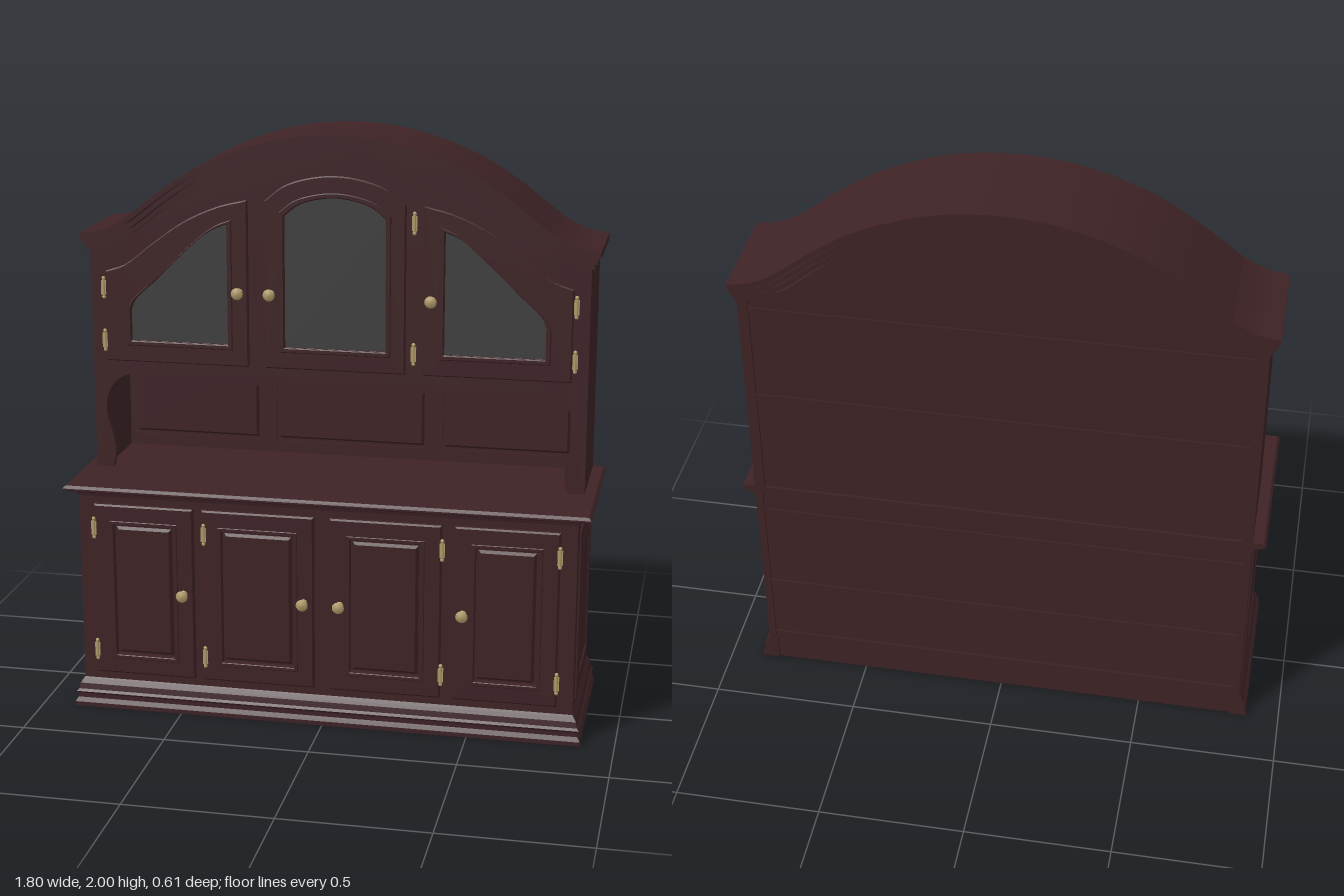
import * as THREE from 'three';

const wood = new THREE.MeshStandardMaterial({ color: 0x3f2326 });
wood.name = 'dark wood';
const glass = new THREE.MeshStandardMaterial({ color: 0x404040 });
glass.name = 'smoked glass';
const brass = new THREE.MeshStandardMaterial({ color: 0xb09a68 });
brass.name = 'aged brass';

const BACK = -0.3;

export function createModel() {
  const root = new THREE.Group();
  root.name = 'dresser';

  const add = (name, geo, mat = wood, parent = root) => {
    const m = new THREE.Mesh(geo, mat);
    m.name = name;
    parent.add(m);
    return m;
  };
  // Box given by its limits
  const box = (name, x0, x1, y0, y1, z0, z1, parent = root) =>
    add(name, new THREE.BoxGeometry(x1 - x0, y1 - y0, z1 - z0)
      .translate((x0 + x1) / 2, (y0 + y1) / 2, (z0 + z1) / 2), wood, parent);
  const shapeOf = pts => new THREE.Shape(pts.map(p => new THREE.Vector2(p[0], p[1])));
  const rect = (x0, x1, y0, y1) => [[x0, y0], [x1, y0], [x1, y1], [x0, y1]];
  // Board cut from an outline, optional hole, softened front edge
  const board = (name, pts, z0, z1, { hole, bevel = 0, mat = wood, parent = root } = {}) => {
    const s = shapeOf(pts);
    if (hole) s.holes.push(shapeOf(hole));
    const geo = new THREE.ExtrudeGeometry(s, {
      depth: z1 - z0 - bevel, bevelEnabled: bevel > 0, bevelThickness: bevel,
      bevelSize: bevel, bevelOffset: -bevel, bevelSegments: 1,
    });
    return add(name, geo.translate(0, 0, z0), mat, parent);
  };
  const spline = (pts, n) => new THREE.CatmullRomCurve3(
    pts.map(p => new THREE.Vector3(p[0], p[1], 0)), false, 'centripetal').getPoints(n).map(p => [p.x, p.y]);
  // Grow an outline by d on every side of its bounds
  const grow = (pts, d) => {
    const xs = pts.map(p => p[0]), ys = pts.map(p => p[1]);
    const x0 = Math.min(...xs), x1 = Math.max(...xs), y0 = Math.min(...ys), y1 = Math.max(...ys);
    const cx = (x0 + x1) / 2, cy = (y0 + y1) / 2;
    return pts.map(([x, y]) => [cx + (x - cx) * (1 + 2 * d / (x1 - x0)), cy + (y - cy) * (1 + 2 * d / (y1 - y0))]);
  };
  // Mitred moulding round the left, front and right; profile is [outward, y]
  const moulding = (name, w, front, profile) => {
    const path = o => [[-w - o, BACK], [-w - o, front + o], [w + o, front + o], [w + o, BACK]];
    const v = [];
    const tri = (...ps) => ps.forEach(p => v.push(...p));
    const at = (k, i) => { const [x, z] = path(profile[i][0])[k]; return [x, profile[i][1], z]; };
    for (let k = 0; k < 3; k++) {
      for (let i = 0; i < profile.length; i++) {
        const j = (i + 1) % profile.length;
        const a = at(k, i), b = at(k + 1, i), c = at(k + 1, j), d = at(k, j);
        tri(a, b, c, a, c, d);
      }
    }
    for (let i = 1; i < profile.length - 1; i++) {
      tri(at(0, 0), at(0, i), at(0, i + 1));
      tri(at(3, 0), at(3, i + 1), at(3, i));
    }
    const geo = new THREE.BufferGeometry();
    geo.setAttribute('position', new THREE.Float32BufferAttribute(v, 3));
    geo.computeVertexNormals();
    return add(name, geo);
  };
  // Frame with a raised field, lying on the plane z
  const panel = (name, x0, x1, y0, y1, z, rim, depth) => {
    const g = new THREE.Group();
    g.name = name;
    root.add(g);
    const inner = rect(x0 + rim, x1 - rim, y0 + rim, y1 - rim);
    board(name + 'Frame', rect(x0, x1, y0, y1), z, z + depth, { hole: inner, bevel: depth * 0.3, parent: g });
    board(name + 'Bead', grow(inner, 0.006), z, z + depth * 1.25, { hole: grow(inner, -0.008), bevel: 0.002, parent: g });
    board(name + 'Field', grow(inner, -0.016), z, z + depth * 0.8, { bevel: depth * 0.5, parent: g });
    return g;
  };
  const knobGeo = new THREE.LatheGeometry([[0.013, 0], [0.013, 0.004], [0.005, 0.008], [0.005, 0.02],
    [0.019, 0.026], [0.021, 0.031], [0.014, 0.037], [0, 0.039]].map(p => new THREE.Vector2(...p)), 16).rotateX(Math.PI / 2);
  const knob = (x, y, z) => add('knob', knobGeo, brass).position.set(x, y, z);
  const hinge = (x, y, z) => {
    const g = new THREE.Group();
    g.name = 'hinge';
    g.position.set(x, y, z);
    root.add(g);
    add('hingePin', new THREE.CylinderGeometry(0.006, 0.006, 0.06, 8), brass, g);
    add('hingeLeaf', new THREE.BoxGeometry(0.018, 0.05, 0.006), brass, g);
    for (const s of [-1, 1]) add('hingeTip', new THREE.SphereGeometry(0.007, 8, 6), brass, g).position.y = s * 0.033;
  };

  // Lower cabinet
  box('lowerCabinet', -0.855, 0.855, 0.09, 0.79, -0.29, 0.25);
  moulding('plinth', 0.855, 0.25, [[-0.03, 0], [0.03, 0], [0.03, 0.015], [0.021, 0.03], [0.021, 0.045],
    [0.025, 0.052], [0.018, 0.06], [0.014, 0.08], [0.004, 0.095], [0, 0.1], [-0.03, 0.1]]);
  moulding('counterEdge', 0.855, 0.25, [[-0.03, 0.77], [0.004, 0.77], [0.008, 0.785], [0.03, 0.79],
    [0.045, 0.797], [0.045, 0.803], [0.036, 0.812], [-0.03, 0.812]]);
  box('counterTop', -0.83, 0.83, 0.785, 0.812, BACK, 0.225);
  for (const [x0, x1] of [[-0.8, -0.45], [-0.42, -0.03], [0.025, 0.405], [0.45, 0.8]])
    panel('lowerDoor', x0, x1, 0.13, 0.745, 0.25, 0.062, 0.018);
  for (const x of [-0.485, -0.065, 0.06, 0.48]) knob(x, 0.44, 0.266);
  for (const x of [-0.8, -0.412, 0.408, 0.8]) for (const y of [0.215, 0.66]) hinge(x, y, 0.268);
  for (const s of [-1, 1]) {
    const p = panel('sidePanel', -0.2, 0.2, 0.13, 0.73, 0, 0.058, 0.007);
    p.position.set(s * 0.855, 0, -0.02);
    p.rotation.y = s * Math.PI / 2;
  }

  // Arched outline of the top
  const half = [[0.885, 1.645], [0.82, 1.655], [0.75, 1.685], [0.68, 1.735], [0.6, 1.797], [0.5, 1.864], [0.4, 1.915], [0.25, 1.968], [0.12, 1.993]];
  const arch = spline([...half.map(([x, y]) => [-x, y]), [0, 2], ...half.slice().reverse()], 72);
  const archAt = (w, drop) => arch.map(([x, y]) => [x * w / 0.885, y - drop]);
  const archStrip = (w, top, bottom) => [...archAt(w, bottom), ...archAt(w, top).reverse()];
  board('crownTop', archStrip(0.885, 0, 0.022), BACK, 0.07);
  board('crownMiddle', archStrip(0.875, 0.02, 0.042), BACK, 0.061);
  board('crownLower', archStrip(0.865, 0.04, 0.06), BACK, 0.051);

  // Upper case: sides, back, shelf over the niche
  for (const s of [-1, 1]) {
    box('upperSide', Math.min(s * 0.82, s * 0.855), Math.max(s * 0.82, s * 0.855), 0.81, 1.6, BACK, 0.02);
    box('lowerBackEdge', Math.min(s * 0.83, s * 0.855), Math.max(s * 0.83, s * 0.855), 0, 0.79, BACK, -0.28);
  }
  board('upperBack', [[-0.83, 0.8], [0.83, 0.8], ...archAt(0.83, 0.05).reverse()], -0.292, -0.26);
  box('lowerBack', -0.84, 0.84, 0, 0.8, -0.292, -0.28);
  for (const y of [0.12, 0.37, 0.7, 1.2, 1.55]) box('shelfEdge', -0.83, 0.83, y - 0.01, y + 0.01, -0.297, -0.285);
  box('nicheCeiling', -0.83, 0.83, 1.185, 1.205, -0.28, 0.025);

  // Front frame with a scalloped niche opening
  const scallop = [[0.795, 0.81], [0.785, 0.87], [0.795, 0.94], [0.812, 1.0], [0.808, 1.07], [0.77, 1.13], [0.7, 1.155],
    [0.6, 1.14], [0.45, 1.125], [0.3, 1.135], [0.2, 1.13], [0.1, 1.15]];
  const opening = spline([...scallop.map(([x, y]) => [-x, y]), [0, 1.172], ...scallop.slice().reverse()], 80);
  board('frontFrame', [[-0.855, 0.81], ...opening, [0.855, 0.81], ...archAt(0.855, 0.055).reverse()], 0.018, 0.04);

  // Panels on the niche back
  for (const [x0, x1] of [[-0.79, -0.34], [-0.265, 0.26], [0.335, 0.775]])
    board('nichePanel', rect(x0, x1, 0.865, 1.125), -0.262, -0.25, { bevel: 0.008 });
  for (const x of [-0.302, 0.298]) box('nicheStile', x - 0.03, x + 0.03, 0.812, 1.19, -0.262, -0.253);
  box('nicheRail', -0.82, 0.82, 0.812, 0.855, -0.262, -0.253);

  // Glazed doors
  const glazedDoor = (outline, pane) => {
    board('glazedDoor', outline, 0.04, 0.055, { hole: pane, bevel: 0.004 });
    board('glazingBead', grow(pane, 0.018), 0.04, 0.059, { hole: grow(pane, 0.001), bevel: 0.003 });
    board('pane', grow(pane, 0.005), 0.04, 0.045, { mat: glass });
  };
  const sideTop = spline([[0.8, 1.515], [0.73, 1.54], [0.64, 1.61], [0.52, 1.695], [0.4, 1.75], [0.3, 1.775]], 16);
  const paneTop = spline([[0.712, 1.385], [0.695, 1.42], [0.62, 1.49], [0.52, 1.59], [0.43, 1.665], [0.372, 1.69]], 16);
  const sideDoor = [[0.3, 1.2], [0.8, 1.2], ...sideTop];
  const sidePane = [[0.372, 1.275], [0.712, 1.275], ...paneTop];
  const flip = pts => pts.map(([x, y]) => [-x, y]).reverse();
  glazedDoor(sideDoor, sidePane);
  glazedDoor(flip(sideDoor), flip(sidePane));
  const bow = (w, y0, y1) => spline([[w, y0], [w * 0.72, y0 + (y1 - y0) * 0.58], [w * 0.35, y1 - (y1 - y0) * 0.1], [0, y1],
    [-w * 0.35, y1 - (y1 - y0) * 0.1], [-w * 0.72, y0 + (y1 - y0) * 0.58], [-w, y0]], 20);
  glazedDoor([[-0.24, 1.2], [0.24, 1.2], ...bow(0.24, 1.775, 1.865)],
    [[-0.173, 1.275], [0.173, 1.275], ...bow(0.173, 1.725, 1.79)]);
  for (const x of [-0.33, -0.22, 0.33]) knob(x, 1.46, 0.055);
  for (const [x, y] of [[-0.81, 1.27], [-0.81, 1.455], [0.81, 1.27], [0.81, 1.455], [0.268, 1.27], [0.268, 1.715]]) hinge(x, y, 0.046);

  return root;
}
